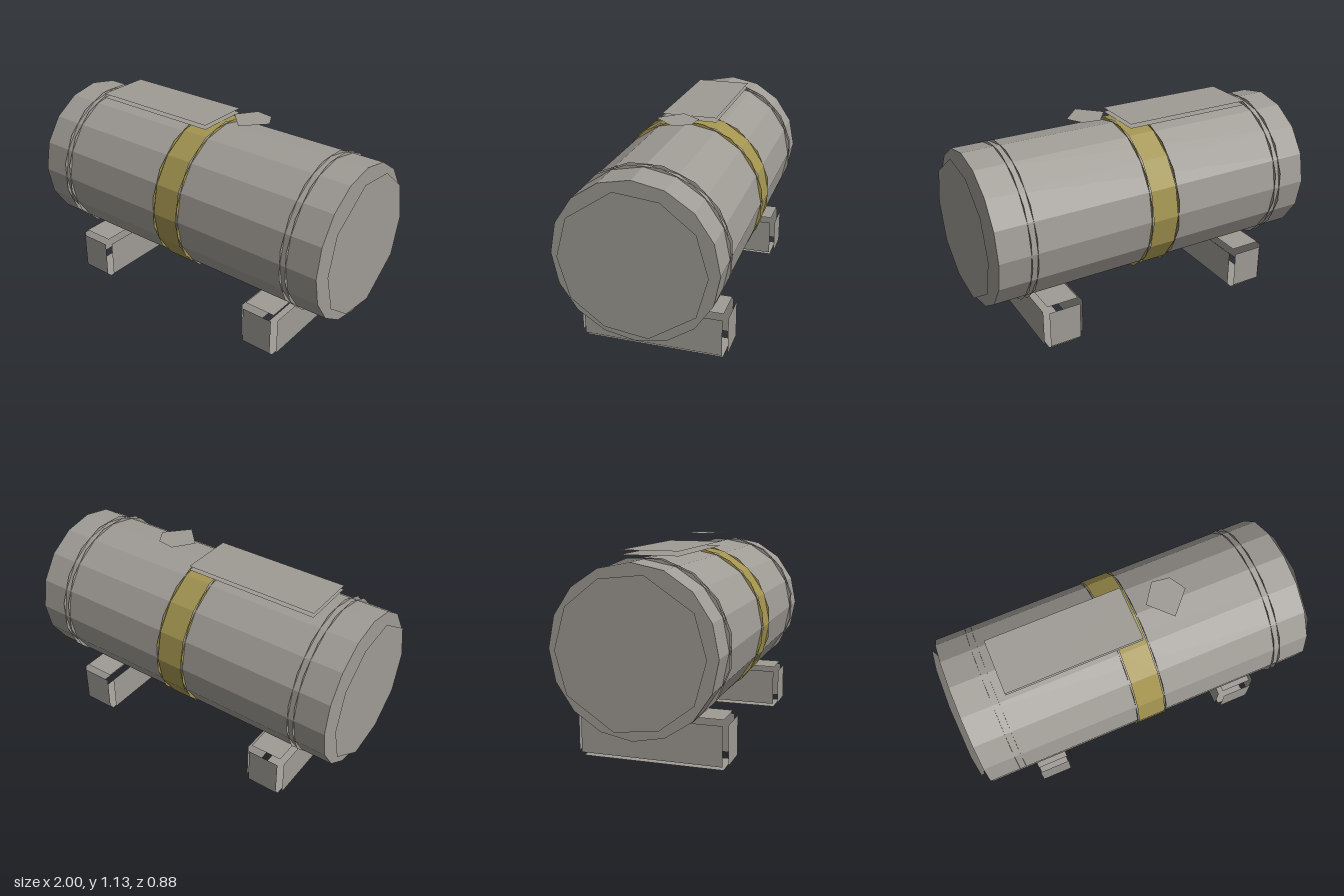
import * as THREE from 'three';

export function createModel() {
  const model = new THREE.Group();
  const mat = (name, color) => {
    const m = new THREE.MeshStandardMaterial({ color, flatShading: true, side: THREE.DoubleSide });
    m.name = name;
    return m;
  };
  const steel = mat('warm grey steel', 0x9f9b95);
  const yellow = mat('dull yellow', 0xa39450);

  const add = (name, geometry, material, x = 0, y = 0, z = 0, parent = model) => {
    const mesh = new THREE.Mesh(geometry, material);
    mesh.name = name;
    mesh.position.set(x, y, z);
    parent.add(mesh);
    return mesh;
  };
  const polygon = (points) => new THREE.ShapeGeometry(
    new THREE.Shape(points.map(([x, y]) => new THREE.Vector2(x, y))));
  const SIDES = 16, AXIS_Y = 0.63;

  // Horizontal drum and the painted band round its middle
  add('drum', new THREE.CylinderGeometry(0.433, 0.433, 1.93, SIDES).rotateZ(Math.PI / 2), steel, 0, AXIS_Y);
  add('band', new THREE.CylinderGeometry(0.441, 0.441, 0.156, SIDES, 1, true).rotateZ(Math.PI / 2), yellow, 0, AXIS_Y);

  // Thin hoops, turned half a step so that only their corners stand out of the drum
  const hoop = new THREE.CircleGeometry(0.444, SIDES, Math.PI / SIDES).rotateY(Math.PI / 2);
  for (const side of [-1, 1]) {
    for (const x of [0.755, 0.79]) add('hoop', hoop, steel, side * x, AXIS_Y);
    add('bandHoop', hoop, yellow, side * 0.086, AXIS_Y);
  }

  // Flat lids floating just off both ends
  const lid = polygon([
    [-0.08, 0.38], [-0.325, 0.215], [-0.385, 0], [-0.325, -0.22], [-0.15, -0.355],
    [0.08, -0.385], [0.325, -0.22], [0.385, 0], [0.325, 0.215], [0.15, 0.355],
  ]);
  for (const side of [-1, 1]) {
    add('endLid', lid, steel, side, AXIS_Y).rotation.y = side * Math.PI / 2;
    // Keep both lids in the same orientation along the drum
    model.children.at(-1).scale.x = side;
  }

  // Two-layer plate on top, and the small cap beside it
  const plate = new THREE.PlaneGeometry(0.77, 0.315).rotateX(-Math.PI / 2);
  add('topPlate', plate, steel, -0.325, 1.097, -0.003);
  add('topPlateUnderside', plate, steel, -0.325, 1.073, -0.003);
  const cap = polygon([[0.14, 0], [0.255, -0.12], [0.37, 0.005], [0.32, 0.095], [0.22, 0.11]]);
  add('fillerCap', cap.rotateX(-Math.PI / 2), steel, 0, 1.135, 0);

  // Feet: six panels each, leaving narrow gaps along the edges
  const w = 0.182, h = 0.215, d = 0.77, gap = 0.025;
  for (const side of [-1, 1]) {
    const foot = new THREE.Group();
    foot.name = side > 0 ? 'leftFoot' : 'rightFoot';
    foot.position.set(side * 0.611, 0.1325, 0);
    for (const s of [-1, 1]) {
      add('footEnd', new THREE.PlaneGeometry(w, h), steel, 0, 0, s * (d / 2 + gap), foot)
        .rotation.y = s > 0 ? 0 : Math.PI;
      add('footSide', new THREE.PlaneGeometry(d, h), steel, s * (w / 2 + gap), 0, 0, foot)
        .rotation.y = s * Math.PI / 2;
      add(s > 0 ? 'footTop' : 'footBottom', new THREE.PlaneGeometry(w, d), steel, 0, s * (h / 2 + gap), 0, foot)
        .rotation.x = -s * Math.PI / 2;
    }
    model.add(foot);
  }
  return model;
}
